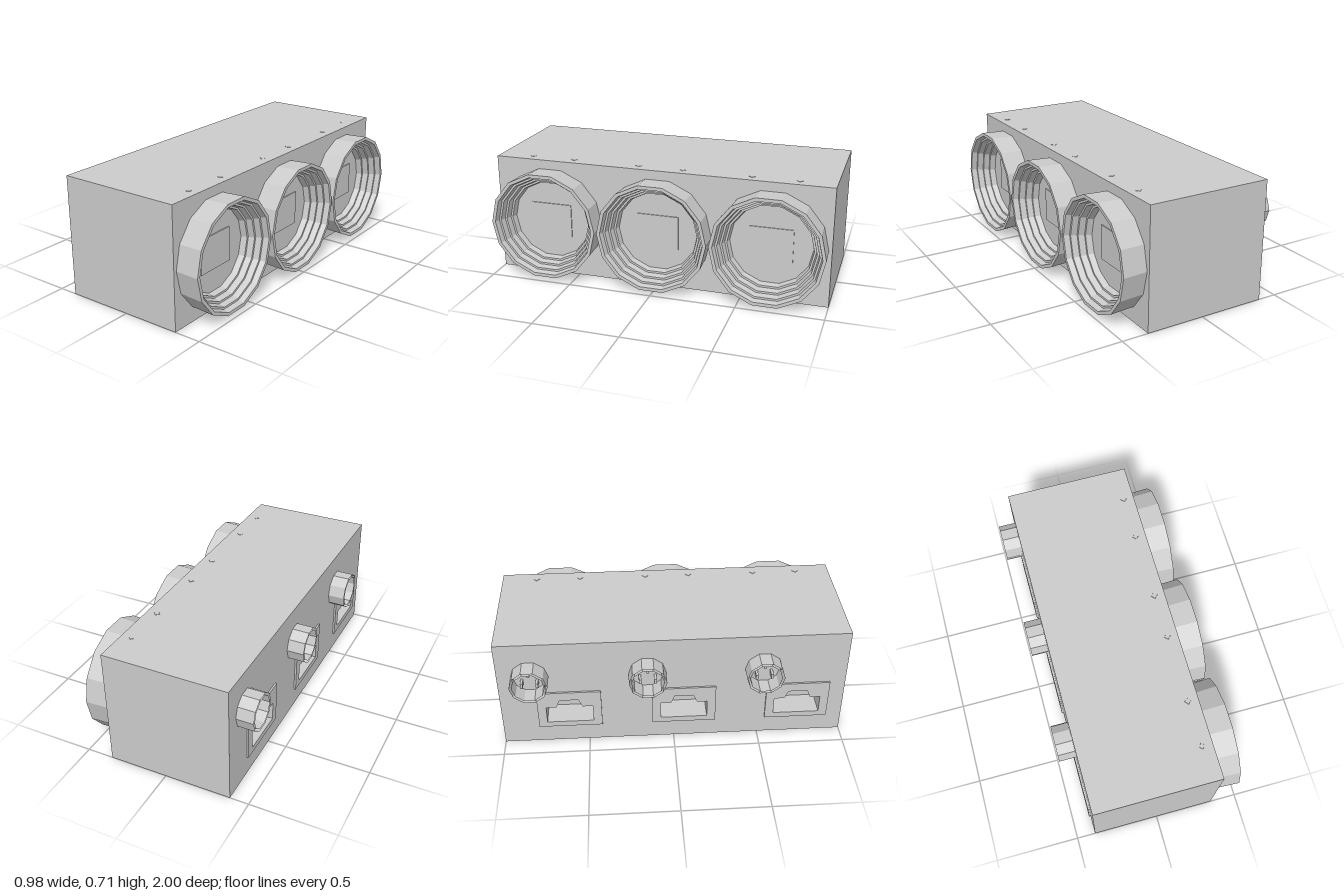
import * as THREE from 'three';

const material = new THREE.MeshStandardMaterial({ color: 0xcccccc, flatShading: true, side: THREE.DoubleSide });

// Box limits and shared layout
const BACK = -0.39, FRONT = 0.345, HEIGHT = 0.705, POCKET = 0.14;
const LENS_Z = [-0.663, 0, 0.663];
const PORT_Z = [-0.815, -0.15, 0.515];

function add(parent, name, geometry, x = 0, y = 0, z = 0) {
  const mesh = new THREE.Mesh(geometry, material);
  mesh.name = name;
  mesh.position.set(x, y, z);
  parent.add(mesh);
  return mesh;
}

function rect(C, z0, y0, z1, y1) {
  return new C([[z0, y0], [z1, y0], [z1, y1], [z0, y1]].map(p => new THREE.Vector2(...p)));
}

// Socket opening with a raised notch for the plug clip
function socketHole(z) {
  const pts = [[-0.135, 0.15], [0.135, 0.15], [0.135, 0.26], [0.075, 0.26],
    [0.055, 0.31], [-0.055, 0.31], [-0.075, 0.26], [-0.135, 0.26]];
  return new THREE.Path(pts.map(([a, b]) => new THREE.Vector2(z + a, b)));
}

// Outline in (z, y), extruded towards -x from the given x
function panel(shape, x, depth) {
  return new THREE.ExtrudeGeometry(shape, { depth, bevelEnabled: false })
    .rotateY(-Math.PI / 2).translate(x, 0, 0);
}

// Lathe turned so that its axis runs along +x
function turned(points, sides) {
  return new THREE.LatheGeometry(points.map(p => new THREE.Vector2(...p)), sides).rotateZ(-Math.PI / 2);
}

export function createModel() {
  const model = new THREE.Group();
  model.name = 'lampBox';

  // Housing: solid block plus a back wall pierced by the sockets
  const depth = FRONT - BACK - POCKET;
  add(model, 'housing', new THREE.BoxGeometry(depth, HEIGHT, 2), FRONT - depth / 2, HEIGHT / 2, 0);
  const wall = rect(THREE.Shape, -1, 0, 1, HEIGHT);
  PORT_Z.forEach(z => wall.holes.push(socketHole(z + 0.21)));
  add(model, 'backWall', panel(wall, BACK + POCKET, POCKET));

  // Stepped reflector rings, each around a square light panel
  const profile = [[0.318, 0], [0.325, 0.142], [0.305, 0.142]];
  for (let i = 0; i < 4; i++) {
    profile.push([0.297 - i * 0.02, 0.108 - i * 0.036], [0.285 - i * 0.02, 0.108 - i * 0.036]);
  }
  LENS_Z.forEach((z, i) => {
    const lens = new THREE.Group();
    lens.name = 'lens' + (i + 1);
    lens.position.set(FRONT, 0.34, z);
    model.add(lens);
    add(lens, 'reflectorRing', turned(profile, 14));
    add(lens, 'lightPanel', new THREE.BoxGeometry(0.008, 0.2, 0.25), 0.002, 0, 0);
  });

  // Back connectors: round power inlet with pins and a framed socket
  PORT_Z.forEach((z, i) => {
    const port = new THREE.Group();
    port.name = 'connector' + (i + 1);
    model.add(port);
    add(port, 'powerInlet', turned([[0.107, 0], [0.107, 0.1], [0.093, 0.1], [0.093, 0]], 10),
      BACK - 0.1, 0.482, z);
    for (let k = 0; k < 3; k++) {
      const a = Math.PI / 2 + k * Math.PI * 2 / 3;
      add(port, 'inletPin', new THREE.BoxGeometry(0.05, 0.03, 0.014),
        BACK - 0.025, 0.482 + 0.05 * Math.sin(a), z + 0.05 * Math.cos(a));
    }
    const frame = rect(THREE.Shape, z + 0.025, 0.115, z + 0.395, 0.365);
    frame.holes.push(socketHole(z + 0.21));
    add(port, 'socketFrame', panel(frame, BACK, 0.011));
  });

  // Small screws along the top edge, two above each lens
  LENS_Z.forEach(z => [-0.132, 0.132].forEach(dz => {
    add(model, 'topScrew', new THREE.CylinderGeometry(0.018, 0.02, 0.004, 4), 0.283, HEIGHT, z + dz);
  }));

  return model;
}
